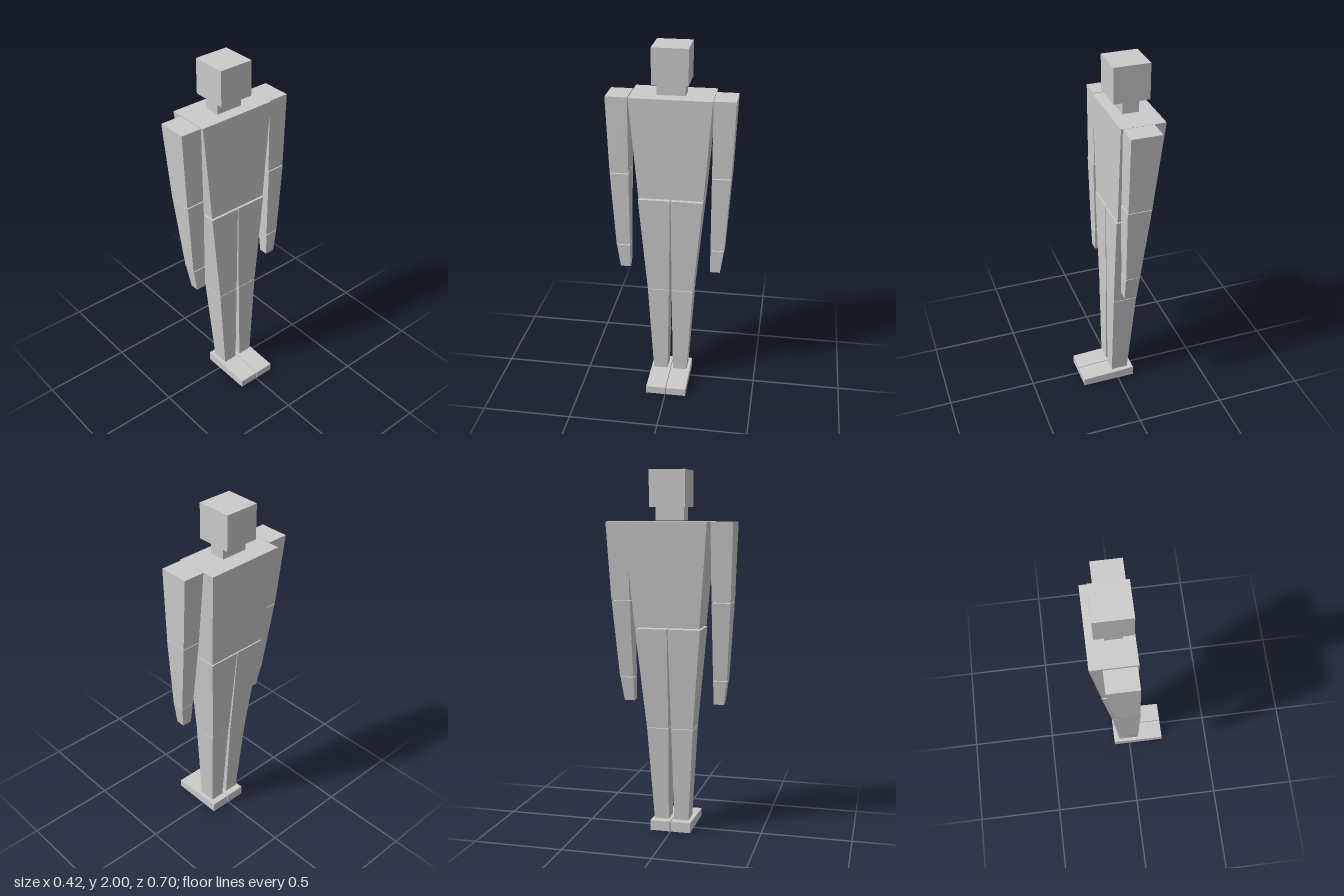
import * as THREE from 'three';

const material = new THREE.MeshStandardMaterial({ color: 0xcccccc, flatShading: true });

// Tapered block: bottom and top are [xBack, xFront, zMin, zMax]; yFront slopes the top
function block(name, y0, y1, bottom, top = bottom, yFront = y1) {
  const geo = new THREE.BoxGeometry(1, 1, 1);
  const p = geo.attributes.position;
  for (let i = 0; i < p.count; i++) {
    const isTop = p.getY(i) > 0, isFront = p.getX(i) > 0;
    const r = isTop ? top : bottom;
    p.setXYZ(i, r[isFront ? 1 : 0], isTop ? (isFront ? yFront : y1) : y0, r[p.getZ(i) > 0 ? 3 : 2]);
  }
  geo.computeVertexNormals();
  const mesh = new THREE.Mesh(geo, material);
  mesh.name = name;
  return mesh;
}

// Limb made of segments [name, y0, y1, bottom, top, yFront], mirrored across z when side is -1
function limb(name, side, zShift, segments) {
  const group = new THREE.Group();
  group.name = name;
  const place = (r) => side > 0
    ? [r[0], r[1], r[2] + zShift, r[3] + zShift]
    : [r[0], r[1], zShift - r[3], zShift - r[2]];
  for (const [part, y0, y1, bottom, top, yFront] of segments) {
    group.add(block(part, y0, y1, place(bottom), place(top), yFront));
  }
  return group;
}

export function createModel() {
  const model = new THREE.Group();
  model.name = 'blockFigure';

  // Head, neck and trunk; the figure looks toward +x
  model.add(
    block('head', 1.805, 2, [-0.174, 0.023, -0.097, 0.099]),
    block('neck', 1.735, 1.805, [-0.122, -0.032, -0.075, 0.08]),
    block('torso', 1.164, 1.73, [-0.16, 0.03, -0.184, 0.174], [-0.212, 0.03, -0.226, 0.223]),
  );

  const arm = [
    ['upperArm', 1.302, 1.73, [-0.105, 0.025, 0.228, 0.332], [-0.146, 0.021, 0.228, 0.348]],
    ['forearm', 0.868, 1.298, [-0.048, 0.023, 0.228, 0.305], [-0.104, 0.028, 0.228, 0.331]],
    ['hand', 0.73, 0.864, [-0.028, 0.023, 0.228, 0.284], [-0.046, 0.024, 0.228, 0.303]],
  ];
  const leg = [
    ['thigh', 0.598, 1.156, [-0.105, 0.033, 0.008, 0.13], [-0.16, 0.035, 0.002, 0.18]],
    ['shin', 0.062, 0.595, [-0.063, 0.033, 0.016, 0.098], [-0.103, 0.033, 0.008, 0.13]],
    ['foot', 0, 0.057, [-0.097, 0.212, 0.002, 0.115], [-0.097, 0.212, 0.002, 0.115], 0.044],
  ];

  // Both sides
  for (const side of [1, -1]) {
    const label = side > 0 ? 'positiveZ' : 'negativeZ';
    model.add(limb(`${label}Arm`, side, 0, arm));
    model.add(limb(`${label}Leg`, side, -0.003, leg));
  }
  return model;
}
